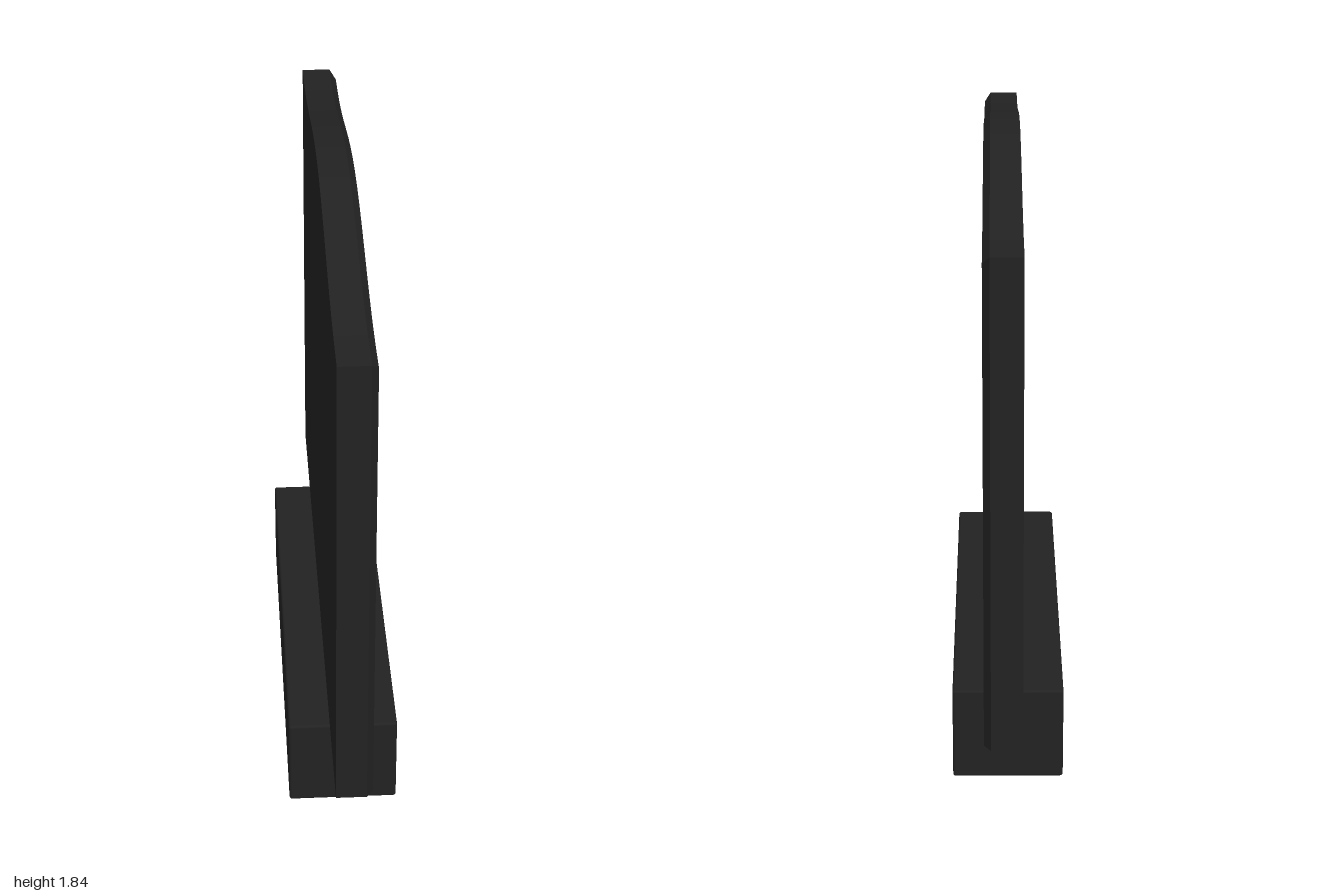
import * as THREE from 'three';
import { RoundedBoxGeometry } from 'three/addons/geometries/RoundedBoxGeometry.js';

const charcoal = new THREE.MeshStandardMaterial({ color: 0x222222 });
charcoal.name = 'charcoal';

// Height of the crowned top edge: flat at the ends, a smooth rise in the middle
function crown(t) {
  const s = Math.min(Math.abs(t) / 0.92, 1);
  return 1.73 + 0.055 * (1 + Math.cos(Math.PI * s));
}

// Upright slab, chamfered along the top and ends of its +x face
function panelGeometry() {
  const shape = new THREE.Shape();
  shape.moveTo(-1, 0.29);
  shape.lineTo(1, 0.29);
  const n = 64;
  for (let i = 0; i <= n; i++) {
    const t = 1 - (2 * i) / n;
    shape.lineTo(t, crown(t));
  }
  shape.closePath();

  const geo = new THREE.ExtrudeGeometry(shape, { depth: 0.11, steps: 2, bevelEnabled: false });
  const p = geo.attributes.position;
  for (let i = 0; i < p.count; i++) {
    const z = p.getZ(i);
    if (z > 0.1) {
      // Front outline is drawn in, except at the bottom
      p.setX(i, p.getX(i) * 0.97);
      if (p.getY(i) > 1) p.setY(i, p.getY(i) - 0.025);
    } else if (z > 0.01) {
      p.setZ(i, 0.09); // start of the chamfer
    }
  }
  geo.computeVertexNormals();
  geo.rotateY(Math.PI / 2);
  geo.translate(-0.04, 0, 0);
  return geo;
}

export function createModel() {
  const group = new THREE.Group();
  group.name = 'uprightSlabOnPlinth';

  const panel = new THREE.Mesh(panelGeometry(), charcoal);
  panel.name = 'panel';

  // Plinth with slightly eased edges
  const base = new THREE.Mesh(new RoundedBoxGeometry(0.33, 0.29, 1.33, 2, 0.008), charcoal);
  base.name = 'base';
  base.position.set(0, 0.145, 0.012);

  group.add(panel, base);
  return group;
}
